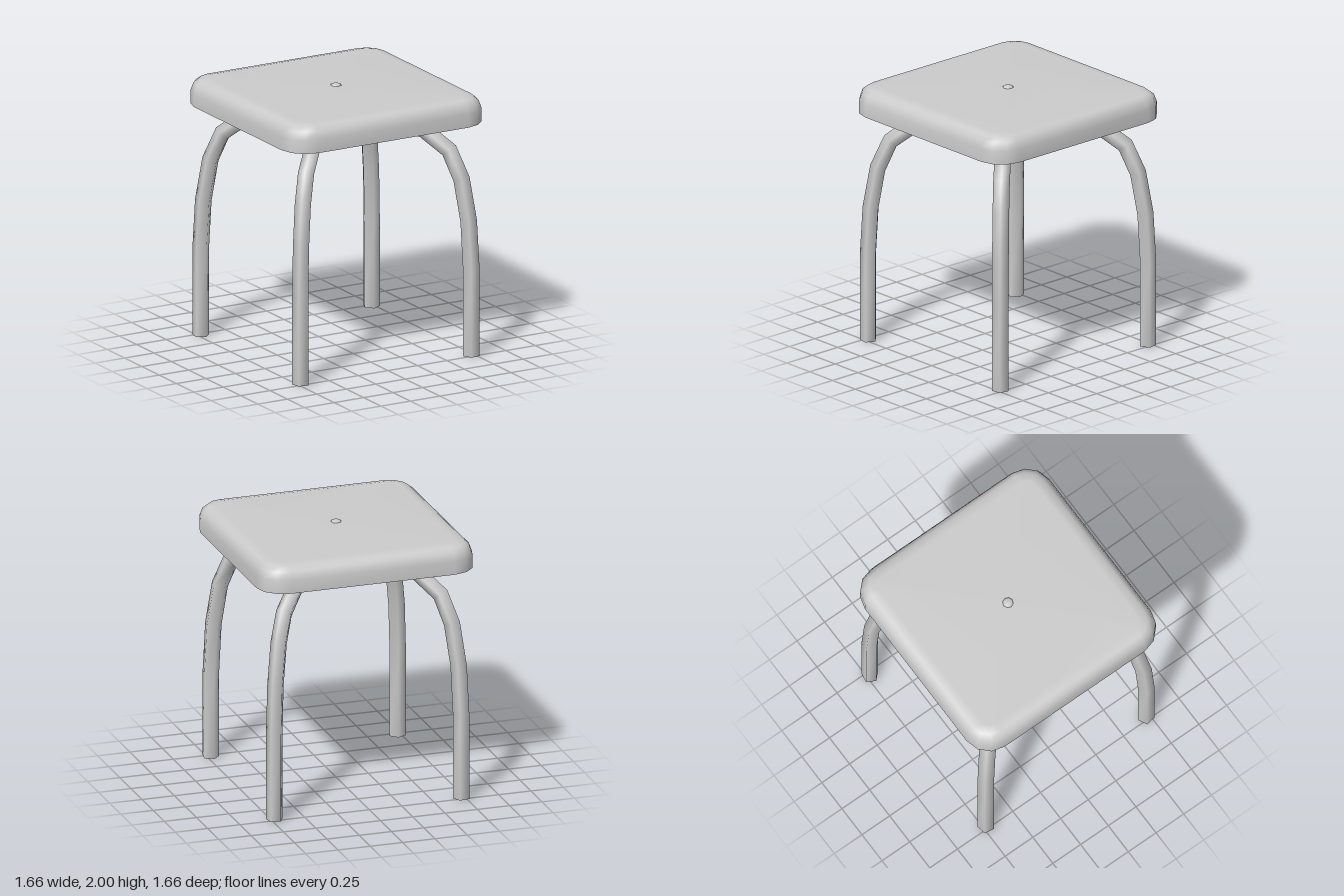
import * as THREE from 'three';

const material = new THREE.MeshStandardMaterial({ color: 0xcccccc });

// Smooth skin through equal rings of points (counterclockwise about the sweep direction)
function loft(rings) {
  const n = rings[0].length, index = [];
  for (let i = 0; i < rings.length - 1; i++) {
    for (let j = 0; j < n; j++) {
      const k = (j + 1) % n, a = i * n, b = a + n;
      index.push(a + j, a + k, b + k, a + j, b + k, b + j);
    }
  }
  const geometry = new THREE.BufferGeometry().setFromPoints(rings.flat());
  geometry.setIndex(index);
  geometry.computeVertexNormals();
  return geometry;
}

// Flat fan closing a ring
function cap(ring, reversed) {
  const index = [];
  for (let j = 1; j < ring.length - 1; j++) index.push(0, ...(reversed ? [j + 1, j] : [j, j + 1]));
  const geometry = new THREE.BufferGeometry().setFromPoints(ring);
  geometry.setIndex(index);
  geometry.computeVertexNormals();
  return geometry;
}

function part(name, ...geometries) {
  const group = new THREE.Group();
  group.name = name;
  for (const g of geometries) {
    const mesh = new THREE.Mesh(g, material);
    mesh.name = name;
    group.add(mesh);
  }
  return group;
}

// Square outline with three-segment rounded corners
function seatRing(inset, y) {
  const half = 0.832 - inset, radius = 0.2 - inset, core = half - radius, ring = [];
  for (let q = 0; q < 4; q++) {
    const mid = (q + 0.5) * Math.PI / 2;
    const cx = core * Math.sign(Math.cos(mid)), cz = -core * Math.sign(Math.sin(mid));
    for (let s = 0; s <= 3; s++) {
      const a = (q + s / 3) * Math.PI / 2;
      ring.push(new THREE.Vector3(cx + radius * Math.cos(a), y, cz - radius * Math.sin(a)));
    }
  }
  return ring;
}

function createSeat() {
  const rings = [[0, 1.78], [0, 1.88], [0.022, 1.94], [0.06, 1.97], [0.13, 1.985]].map(([i, y]) => seatRing(i, y));
  // the top closes smoothly on its centre
  rings.push(rings[0].map(() => new THREE.Vector3(0, 1.987, 0)));
  return part('seat', loft(rings), cap(rings[0], true));
}

// Five-sided tube bent into an arch that forms two opposite legs
function createLegArch() {
  const half = [[0.722, 0], [0.722, 0.66], [0.708, 1.03], [0.67, 1.345], [0.605, 1.555], [0.47, 1.697], [0.34, 1.738]];
  const path = [
    ...half.map(([x, y]) => new THREE.Vector2(-x * Math.SQRT2, y)),
    new THREE.Vector2(0, 1.742),
    ...half.map(([x, y]) => new THREE.Vector2(x * Math.SQRT2, y)).reverse(),
  ];
  const radius = 0.064, sides = 5;
  const rings = path.map((p, i) => {
    const before = p.clone().sub(path[Math.max(i - 1, 0)]).normalize();
    const after = path[Math.min(i + 1, path.length - 1)].clone().sub(p).normalize();
    const t = before.add(after).normalize();
    return Array.from({ length: sides }, (_, j) => {
      const a = j / sides * Math.PI * 2, out = radius * Math.cos(a);
      return new THREE.Vector3(p.x - t.y * out, p.y + t.x * out, radius * Math.sin(a));
    });
  });
  return part('legArch', loft(rings), cap(rings[0], true), cap(rings[rings.length - 1], false));
}

export function createModel() {
  const model = new THREE.Group();
  model.name = 'stool';
  model.add(createSeat());

  // Two arches crossing on the diagonals
  for (const side of [-1, 1]) {
    const arch = createLegArch();
    arch.rotation.y = side * Math.PI / 4;
    model.add(arch);
  }

  // Small domed button in the middle of the seat
  const profile = [[0.04, 1.975], [0.04, 1.99], [0.026, 1.998], [0, 2]].map(([x, y]) => new THREE.Vector2(x, y));
  model.add(part('seatButton', new THREE.LatheGeometry(profile, 8)));
  return model;
}
